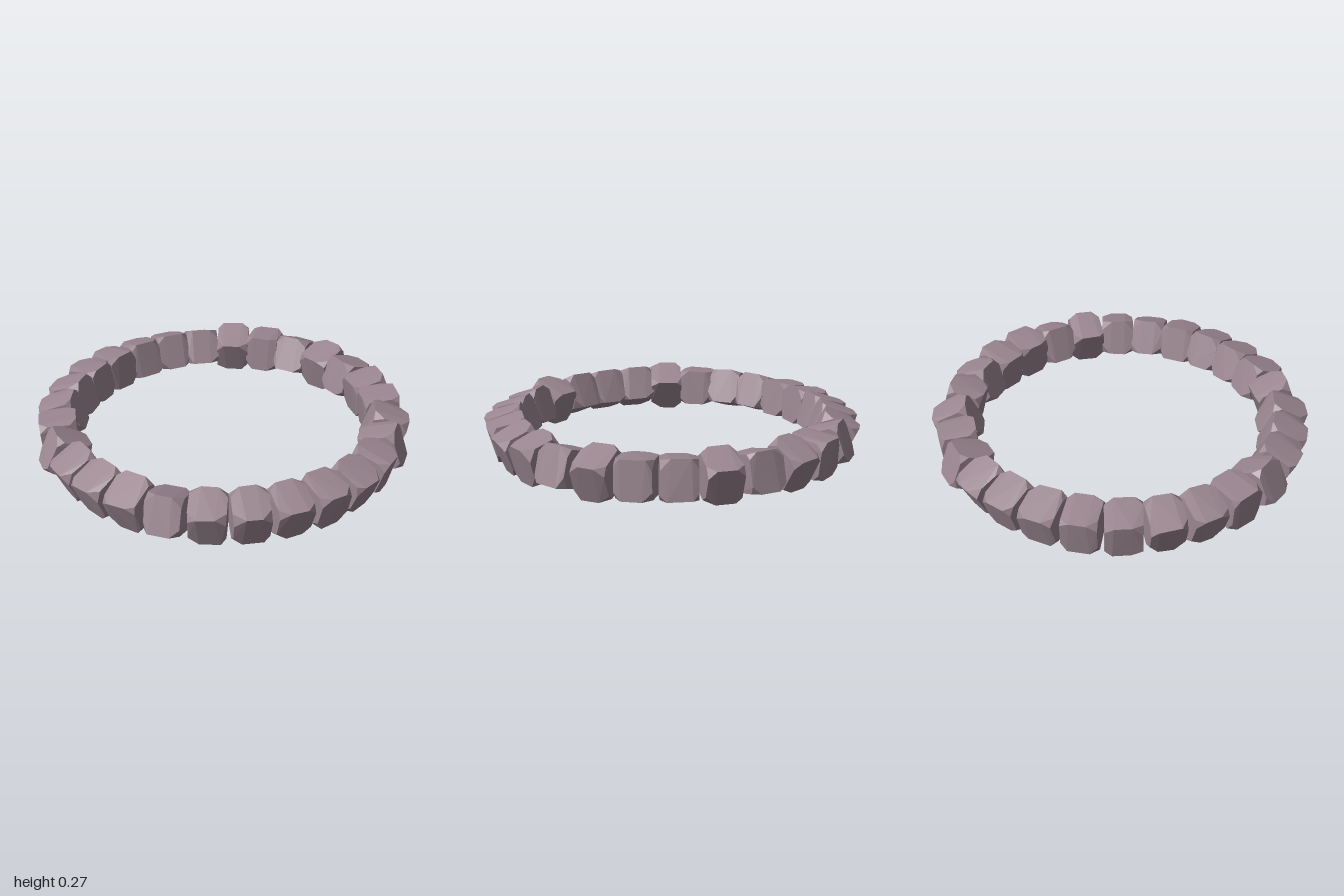
import * as THREE from 'three';
import { ConvexGeometry } from 'three/addons/geometries/ConvexGeometry.js';

// small seeded generator for the chipped irregularity
let seed = 7;
function jitter(amount) {
  seed = (seed * 16807) % 2147483647;
  return (seed / 2147483647 - 0.5) * 2 * amount;
}

// block with cut corners: x radial, y up, z along the ring
function stoneGeometry() {
  const hx = 0.099, hy = 0.099, hz = 0.091;
  const points = [];
  for (const sx of [-1, 1]) for (const sy of [-1, 1]) for (const sz of [-1, 1]) {
    for (let axis = 0; axis < 3; axis++) {
      const p = [hx, hy, hz];
      p[axis] -= 0.042 + jitter(0.014);
      // ends pinch slightly towards the neighbours
      if (axis !== 2) p[axis === 0 ? 1 : 0] -= 0.006;
      points.push(new THREE.Vector3(
        sx * (p[0] + jitter(0.003)),
        sy * (p[1] + jitter(0.003)),
        sz * (p[2] + jitter(0.003))
      ));
    }
  }
  return new ConvexGeometry(points);
}

export function createModel() {
  const ring = new THREE.Group();
  ring.name = 'stoneRing';
  const stoneMaterial = new THREE.MeshStandardMaterial({ color: 0x9a8690 });
  stoneMaterial.name = 'mauve stone';

  // roll of each stone in degrees, positive leans its top outwards
  const rolls = [
    22, 15, 20, 20, 20, -20, 24,
    24, 25, -27, 5, 20, 20, 9,
    8, 17, 20, 25, -20, 5, 26,
    -14, 18, -10, -6, 20, -18, 16,
  ];
  const radius = 0.87;
  rolls.forEach((roll, i) => {
    const angle = ((i + 0.5) / rolls.length) * Math.PI * 2;
    const stone = new THREE.Mesh(stoneGeometry(), stoneMaterial);
    stone.name = `stone${i + 1}`;
    stone.position.set(Math.cos(angle) * radius, 0.133, Math.sin(angle) * radius);
    stone.rotation.set(0, -angle, -THREE.MathUtils.degToRad(roll));
    ring.add(stone);
  });
  return ring;
}
